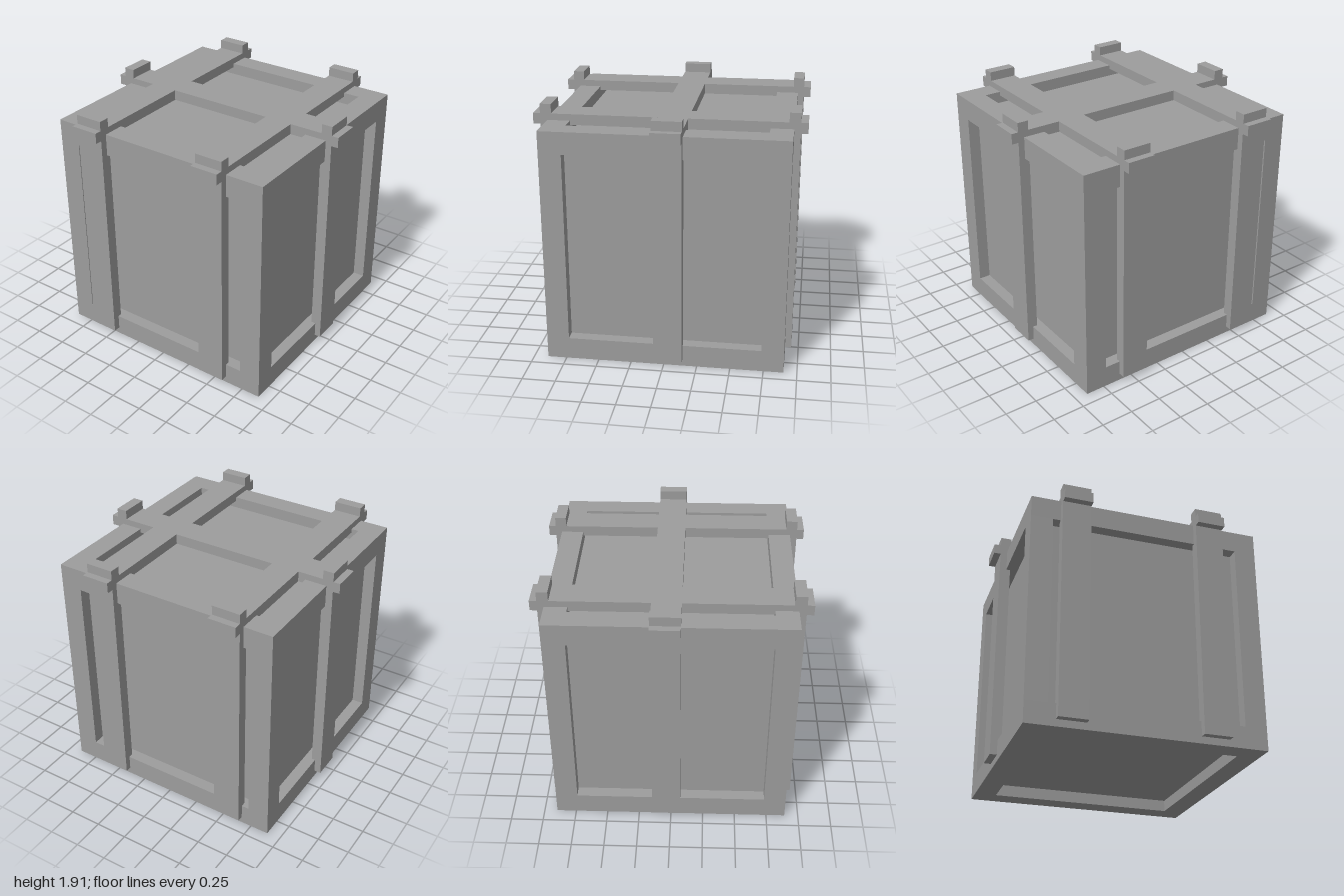
import * as THREE from 'three';

export function createModel() {
  const model = new THREE.Group();
  model.name = 'crate';
  const material = new THREE.MeshStandardMaterial({ color: 0x9d9d9d, flatShading: true });

  // Box given by its lower and upper corners
  const box = (name, lo, hi, parent) => {
    const size = hi.map((h, i) => h - lo[i]);
    const mesh = new THREE.Mesh(new THREE.BoxGeometry(...size), material);
    mesh.position.set(...hi.map((h, i) => (h + lo[i]) / 2));
    mesh.name = name;
    parent.add(mesh);
  };

  // Crate body: a core whose faces are the recessed panels, edged by beams
  const half = 0.897, inner = 0.729, panel = 0.807;
  const body = new THREE.Group();
  body.name = 'body';
  body.position.set(0.003, half + 0.003, -0.003);
  model.add(body);
  box('recessedPanels', [-panel, -panel, -panel], [panel, panel, panel], body);
  const span = s => (s < 0 ? [-half, -inner] : [inner, half]);
  for (let axis = 0; axis < 3; axis++) {
    // x beams run into the corners, posts and z beams fit between them
    const reach = axis === 0 ? half : inner;
    for (const a of [-1, 1]) for (const b of [-1, 1]) {
      const ranges = [span(a), span(b)];
      ranges.splice(axis, 0, [-reach, reach]);
      box('frameBeam', ranges.map(r => r[0]), ranges.map(r => r[1]), body);
    }
  }

  // Straps: the top bars and the upright bars cross past each other at the rim
  const straps = new THREE.Group();
  straps.name = 'straps';
  model.add(straps);
  const lowY = 0.057, highY = 1.917, barLow = 1.766, barHigh = 1.846;
  const near = 0.864, far = 0.947;
  const strapX = [[-0.668, -0.449], [0.39, 0.606]];
  const [z0, z1] = [-0.143, 0.073];

  for (const [x0, x1] of strapX) {
    box('topStrapLengthwise', [x0, barLow, -1], [x1, barHigh, 1], straps);
    box('frontStrap', [x0, lowY, near], [x1, highY, far], straps);
    box('backStrap', [x0, lowY, -far], [x1, highY, -near], straps);
  }
  box('topStrapCrosswise', [-1, barLow, z0], [1, barHigh, z1], straps);
  box('leftStrap', [near, lowY, z0], [far, highY, z1], straps);
  box('rightStrap', [-far, lowY, z0], [-near, highY, z1], straps);

  return model;
}
